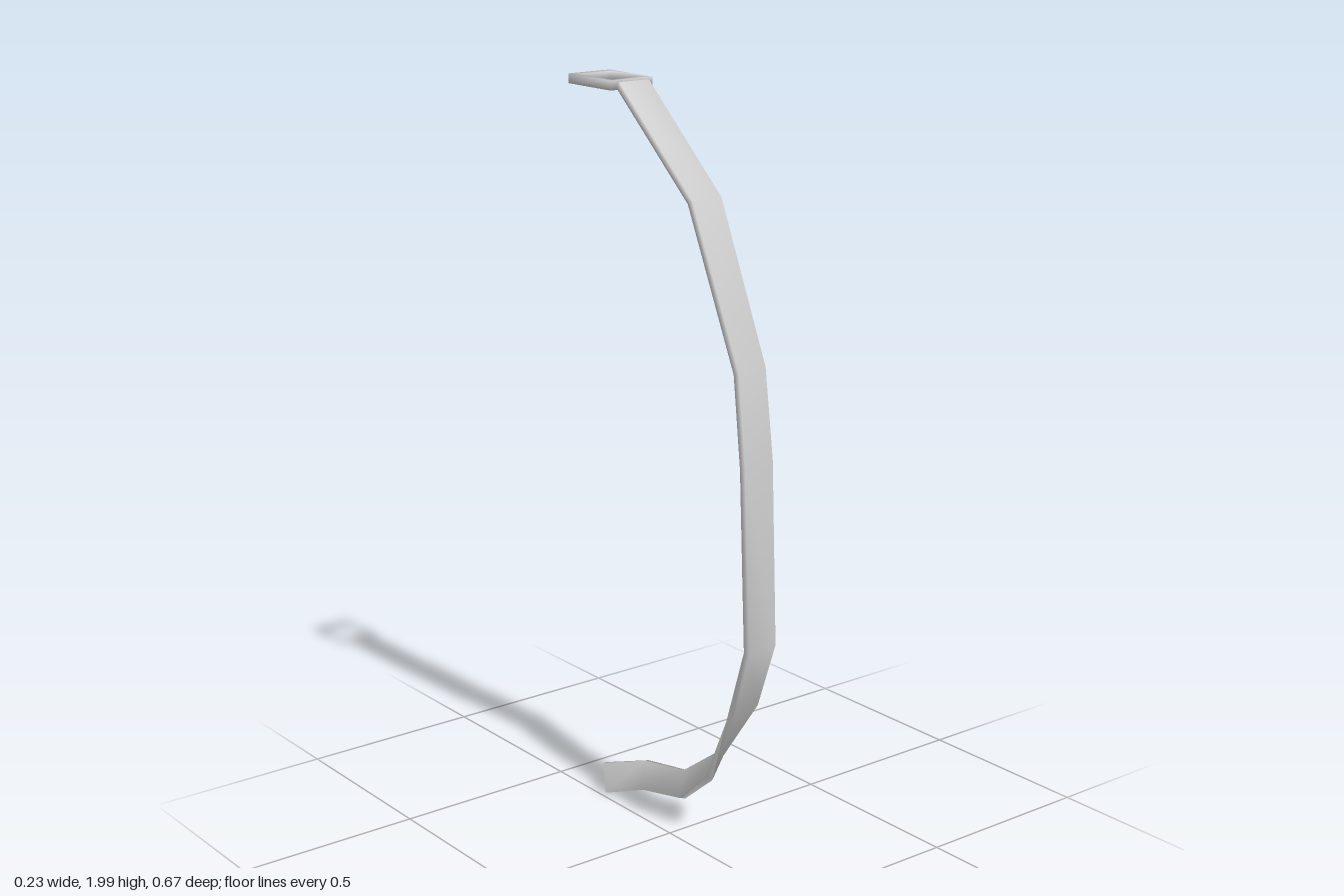
import * as THREE from 'three';

const v = (p) => new THREE.Vector3(...p);

// Skin a row of four-cornered rings; closed joins the last ring to the first.
function skin(rings, closed, name) {
  const n = rings.length, index = [];
  for (let i = 0; i < (closed ? n : n - 1); i++) {
    for (let j = 0; j < 4; j++) {
      const k = (j + 1) % 4, a = i * 4, b = ((i + 1) % n) * 4;
      index.push(a + j, b + j, b + k, a + j, b + k, a + k);
    }
  }
  if (!closed) {
    const e = (n - 1) * 4;
    index.push(0, 1, 2, 0, 2, 3, e, e + 2, e + 1, e, e + 3, e + 2);
  }
  const geometry = new THREE.BufferGeometry().setFromPoints(rings.flat());
  geometry.setIndex(index);
  geometry.computeVertexNormals();
  const mesh = new THREE.Mesh(geometry, new THREE.MeshStandardMaterial({ color: 0xcccccc }));
  mesh.name = name;
  return mesh;
}

// Flat band given as pairs of edge points, thickened along its own normal.
function makeStrap() {
  const edges = [
    [[-0.077, 1.985, -0.107], [0.013, 1.985, -0.107]],
    [[-0.04, 1.725, 0.13], [0.05, 1.725, 0.13]],
    [[0.013, 1.315, 0.245], [0.1, 1.32, 0.242]],
    [[-0.008, 1.09, 0.297], [0.08, 1.1, 0.297]],
    [[-0.013, 0.62, 0.325], [0.073, 0.63, 0.325]],
    [[0.02, 0.39, 0.22], [0.109, 0.425, 0.216]],
    [[0.048, 0.19, 0.105], [0.105, 0.237, 0.082]],
    [[0.068, 0.077, -0.033], [0.093, 0.147, -0.045]],
    [[0.075, 0.038, -0.205], [0.091, 0.115, -0.22]],
    [[0.018, 0.01, -0.304], [0.028, 0.088, -0.328]],
  ].map((pair) => pair.map(v));
  const mid = edges.map(([l, r]) => l.clone().add(r).multiplyScalar(0.5));
  const rings = edges.map(([l, r], i) => {
    const before = mid[Math.max(i - 1, 0)], after = mid[Math.min(i + 1, mid.length - 1)];
    const dirIn = mid[i].clone().sub(before).normalize();
    const dirOut = after.clone().sub(mid[i]).normalize();
    const normal = dirIn.add(dirOut).cross(r.clone().sub(l)).setLength(0.01);
    return [l.clone().add(normal), r.clone().add(normal), r.clone().sub(normal), l.clone().sub(normal)];
  });
  return skin(rings, false, 'strap');
}

// Slanted rectangular loop at the top of the strap.
function makeBuckle() {
  const h = 0.012;
  // outer x, z, then inner x, z, then height
  const corners = [
    [-0.098, -0.108, -0.082, -0.123, 1.984],
    [0.03, -0.108, 0.01, -0.123, 1.984],
    [0.013, -0.26, -0.005, -0.231, 1.988],
    [-0.114, -0.26, -0.096, -0.231, 1.988],
  ];
  const rings = corners.map(([ox, oz, ix, iz, y]) =>
    [[ox, y + h, oz], [ix, y + h, iz], [ix, y - h, iz], [ox, y - h, oz]].map(v));
  return skin(rings, true, 'buckleLoop');
}

export function createModel() {
  const model = new THREE.Group();
  model.name = 'buckledStrap';
  model.add(makeStrap(), makeBuckle());
  return model;
}
